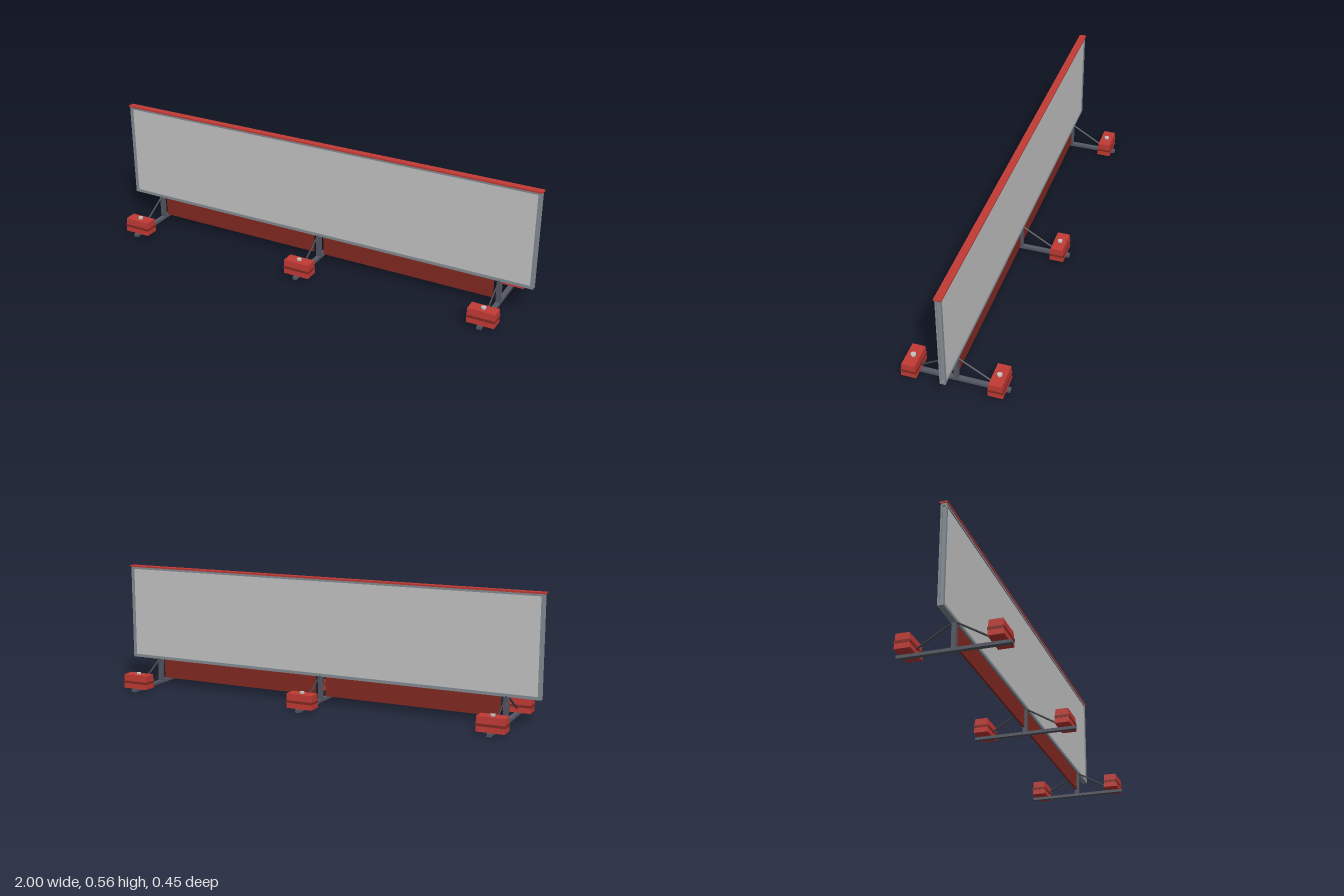
import * as THREE from 'three';

const mat = (name, color) => {
  const m = new THREE.MeshStandardMaterial({ color });
  m.name = name;
  return m;
};

export function createModel() {
  const red = mat('red', 0xc23a35);
  const darkRed = mat('dark red', 0x862a22);
  const steel = mat('frame steel', 0x879097);
  const darkSteel = mat('dark steel', 0x555863);
  const strutGrey = mat('strut grey', 0x404147);
  const panelGrey = mat('panel grey', 0xc9c9c9);
  const zinc = mat('zinc', 0xc4c6c4);

  const model = new THREE.Group();
  model.name = 'barrierWall';

  const box = (parent, name, w, h, d, x, y, z, material) => {
    const mesh = new THREE.Mesh(new THREE.BoxGeometry(w, h, d), material);
    mesh.name = name;
    mesh.position.set(x, y, z);
    parent.add(mesh);
    return mesh;
  };

  // Wall panel with its frame and top cap
  box(model, 'panel', 1.97, 0.42, 0.016, 0, 0.335, 0, panelGrey);
  box(model, 'bottomRail', 1.992, 0.013, 0.024, 0, 0.1225, 0, steel);
  box(model, 'topRail', 1.992, 0.01, 0.024, 0, 0.5445, 0, steel);
  box(model, 'topCap', 2, 0.007, 0.031, 0, 0.5525, 0, red);

  // End posts with a channel down the outer face
  for (const s of [-1, 1]) {
    box(model, 'endPostWeb', 0.006, 0.433, 0.02, s * 0.986, 0.3325, 0, steel);
    for (const f of [-1, 1]) {
      box(model, 'endPostFlange', 0.014, 0.433, 0.007, s * 0.989, 0.3325, f * 0.0085, steel);
    }
  }

  // Kick boards between the feet
  for (const s of [-1, 1]) {
    box(model, 'kickBoard', 0.8, 0.09, 0.008, s * 0.425, 0.073, 0, darkRed);
  }

  // Clamped ballast block, tapered towards the top in depth
  const profile = new THREE.Shape();
  profile.moveTo(-0.032, 0);
  profile.lineTo(0.032, 0);
  profile.lineTo(0.0275, 0.063);
  profile.lineTo(-0.0275, 0.063);
  profile.closePath();
  const blockGeo = new THREE.ExtrudeGeometry(profile, { depth: 0.12, bevelEnabled: false });
  blockGeo.translate(0, 0, -0.06).rotateY(Math.PI / 2);

  const makeFoot = (x) => {
    const foot = new THREE.Group();
    foot.name = 'foot';
    foot.position.x = x;
    box(foot, 'footBeam', 0.02, 0.013, 0.452, 0, 0.0065, 0, darkSteel);
    box(foot, 'post', 0.02, 0.104, 0.018, 0, 0.065, 0, darkSteel);
    for (const s of [-1, 1]) {
      // Diagonal strut from the post head into the block
      const a = new THREE.Vector3(0, 0.118, s * 0.009);
      const b = new THREE.Vector3(0, 0.016, s * 0.178);
      const strut = new THREE.Mesh(new THREE.CylinderGeometry(0.004, 0.004, a.distanceTo(b), 8), strutGrey);
      strut.name = 'strut';
      strut.position.copy(a).lerp(b, 0.5);
      strut.quaternion.setFromUnitVectors(new THREE.Vector3(0, 1, 0), b.clone().sub(a).normalize());
      foot.add(strut);

      const block = new THREE.Mesh(blockGeo, red);
      block.name = 'ballastBlock';
      block.position.set(0, 0.013, s * 0.181);
      foot.add(block);
      box(foot, 'blockBand', 0.123, 0.011, 0.064, 0, 0.0415, s * 0.181, darkRed);

      const bolt = new THREE.Mesh(new THREE.CylinderGeometry(0.011, 0.011, 0.009, 8), zinc);
      bolt.name = 'bolt';
      bolt.position.set(0, 0.0795, s * 0.181);
      foot.add(bolt);
    }
    return foot;
  };
  for (const x of [-0.85, 0, 0.85]) model.add(makeFoot(x));

  return model;
}
